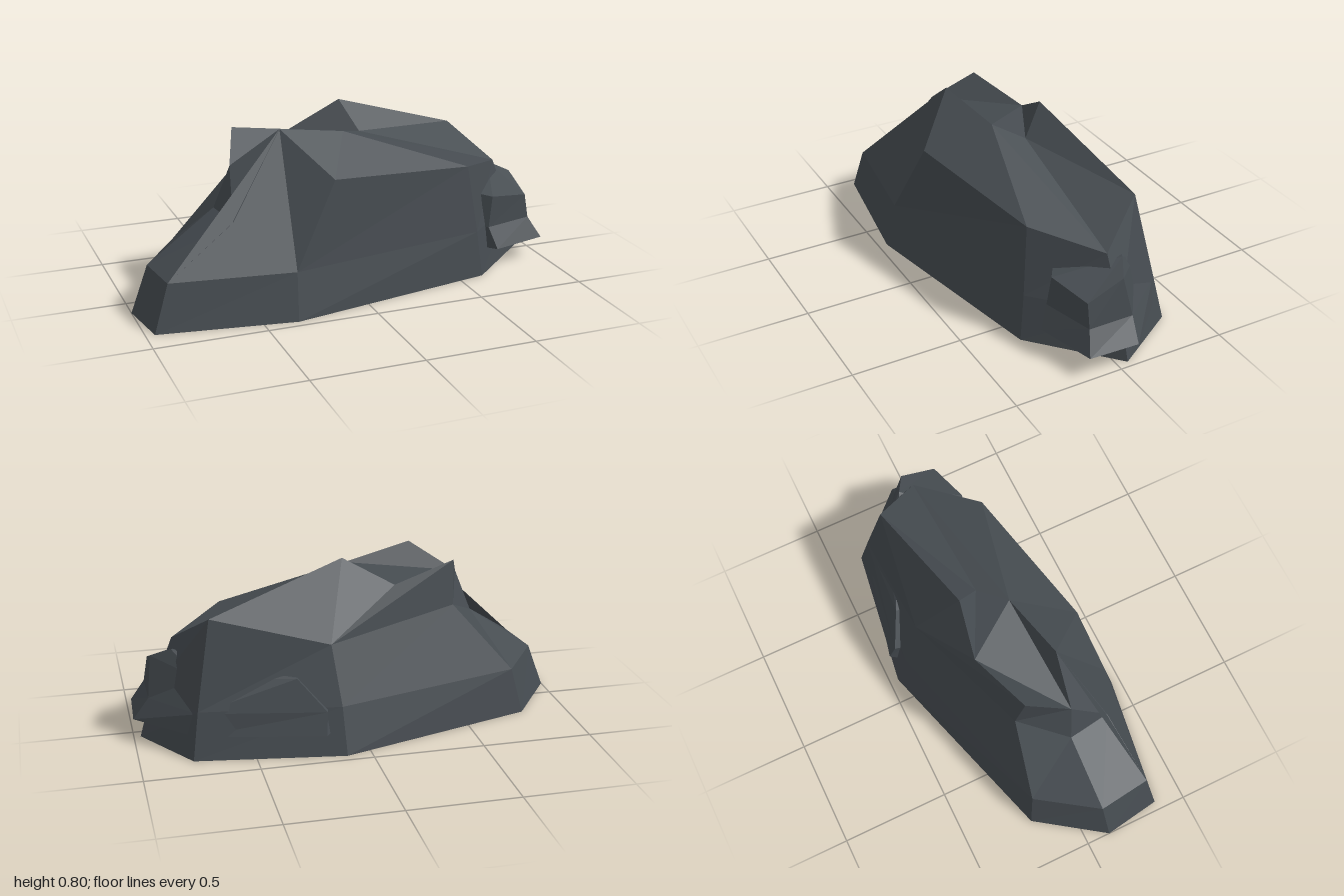
import * as THREE from 'three';

const stone = new THREE.MeshStandardMaterial({ color: 0x454b50, flatShading: true });
stone.name = 'slateGrey';

// Flat-faced mesh from polygons, each given as corners in counter-clockwise order
function facetMesh(name, polygons) {
  const pos = [];
  for (const p of polygons) {
    for (let i = 1; i < p.length - 1; i++) pos.push(...p[0], ...p[i], ...p[i + 1]);
  }
  const geo = new THREE.BufferGeometry();
  geo.setAttribute('position', new THREE.Float32BufferAttribute(pos, 3));
  geo.computeVertexNormals();
  const mesh = new THREE.Mesh(geo, stone);
  mesh.name = name;
  return mesh;
}

// Band of quads between two loops that run clockwise as seen from above
function band(low, high) {
  return low.map((p, i) => {
    const j = (i + 1) % low.length;
    return [low[j], p, high[i], high[j]];
  });
}

function mainRock() {
  const base = [[-0.96, 0, 0.37], [-1, 0, 0.11], [-0.79, 0, -0.19], [0.11, 0, -0.46],
    [0.77, 0, -0.36], [0.97, 0, -0.05], [0.62, 0, 0.27], [-0.35, 0, 0.46]];
  const mid = [[-0.89, 0.21, 0.34], [-0.92, 0.21, 0.1], [-0.74, 0.21, -0.165], [0.12, 0.21, -0.405],
    [0.74, 0.21, -0.32], [0.91, 0.21, -0.045], [0.6, 0.21, 0.245], [-0.34, 0.21, 0.415]];
  const [m0, m1, m2, m3, m4, m5, m6, m7] = mid;

  // Shoulder corners
  const stepFront = [-0.58, 0.42, 0.28], stepLeft = [-0.61, 0.43, 0.085], stepBack = [-0.46, 0.535, -0.12];
  const back = [0.15, 0.47, -0.32], backEnd = [0.67, 0.605, -0.25], end = [0.81, 0.455, -0.03];
  const frontEnd = [0.56, 0.52, 0.21], front = [-0.14, 0.58, 0.345];

  // Crest corners around the shallow hollow
  const notch = [-0.54, 0.62, 0.11], peakFront = [-0.32, 0.77, 0.14], ridgeFront = [0, 0.71, 0.075];
  const valley = [0.12, 0.67, -0.03], peakBack = [0.06, 0.8, -0.135];
  const saddle = [-0.17, 0.67, -0.174], horn = [-0.47, 0.735, -0.08];

  return facetMesh('mainRock', [
    base,
    ...band(base, mid),
    // Flanks
    [m1, m0, stepFront, stepLeft],
    [m2, m1, stepLeft, stepBack],
    [m3, m2, stepBack, back],
    [m4, m3, back, backEnd],
    [m5, m4, backEnd, end],
    [m6, m5, end, frontEnd],
    [m7, m6, frontEnd, front],
    [peakFront, notch, stepFront, m0, m7, front],
    // Upper slopes
    [stepLeft, stepFront, notch],
    [stepBack, stepLeft, notch, horn],
    [back, stepBack, horn, saddle],
    [back, saddle, peakBack],
    [backEnd, back, peakBack],
    [peakBack, valley, backEnd],
    [backEnd, valley, end],
    [valley, ridgeFront, end],
    [ridgeFront, frontEnd, end],
    [ridgeFront, front, frontEnd],
    [peakFront, front, ridgeFront],
    // Hollow on top
    [notch, peakFront, ridgeFront],
    [notch, ridgeFront, saddle],
    [horn, notch, saddle],
    [saddle, ridgeFront, valley],
    [saddle, valley, peakBack],
  ]);
}

// Smaller rock running through the end of the main one
function sideRock() {
  const low = [[0.63, 0.1, 0.13], [0.17, 0.1, -0.41], [0.2, 0.1, -0.455], [0.75, 0.1, -0.33],
    [1, 0.1, -0.08], [0.99, 0.1, 0.15], [0.72, 0.1, 0.225]];
  const mid = [[0.62, 0.2, 0.13], [0.18, 0.2, -0.38], [0.19, 0.2, -0.425], [0.74, 0.2, -0.315],
    [0.93, 0.2, -0.09], [0.93, 0.2, 0.12], [0.69, 0.2, 0.185]];
  const high = [[0.63, 0.36, 0.12], [0.3, 0.34, -0.3], [0.31, 0.34, -0.355], [0.72, 0.33, -0.23],
    [0.91, 0.385, -0.05], [0.91, 0.315, 0.12], [0.71, 0.345, 0.175]];
  const crest = [0.82, 0.425, -0.1];
  const cap = high.map((p, i) => [high[(i + 1) % high.length], p, crest]);
  return facetMesh('sideRock', [low, ...band(low, mid), ...band(mid, high), ...cap]);
}

export function createModel() {
  const group = new THREE.Group();
  group.name = 'rockOutcrop';
  group.add(mainRock(), sideRock());
  return group;
}
